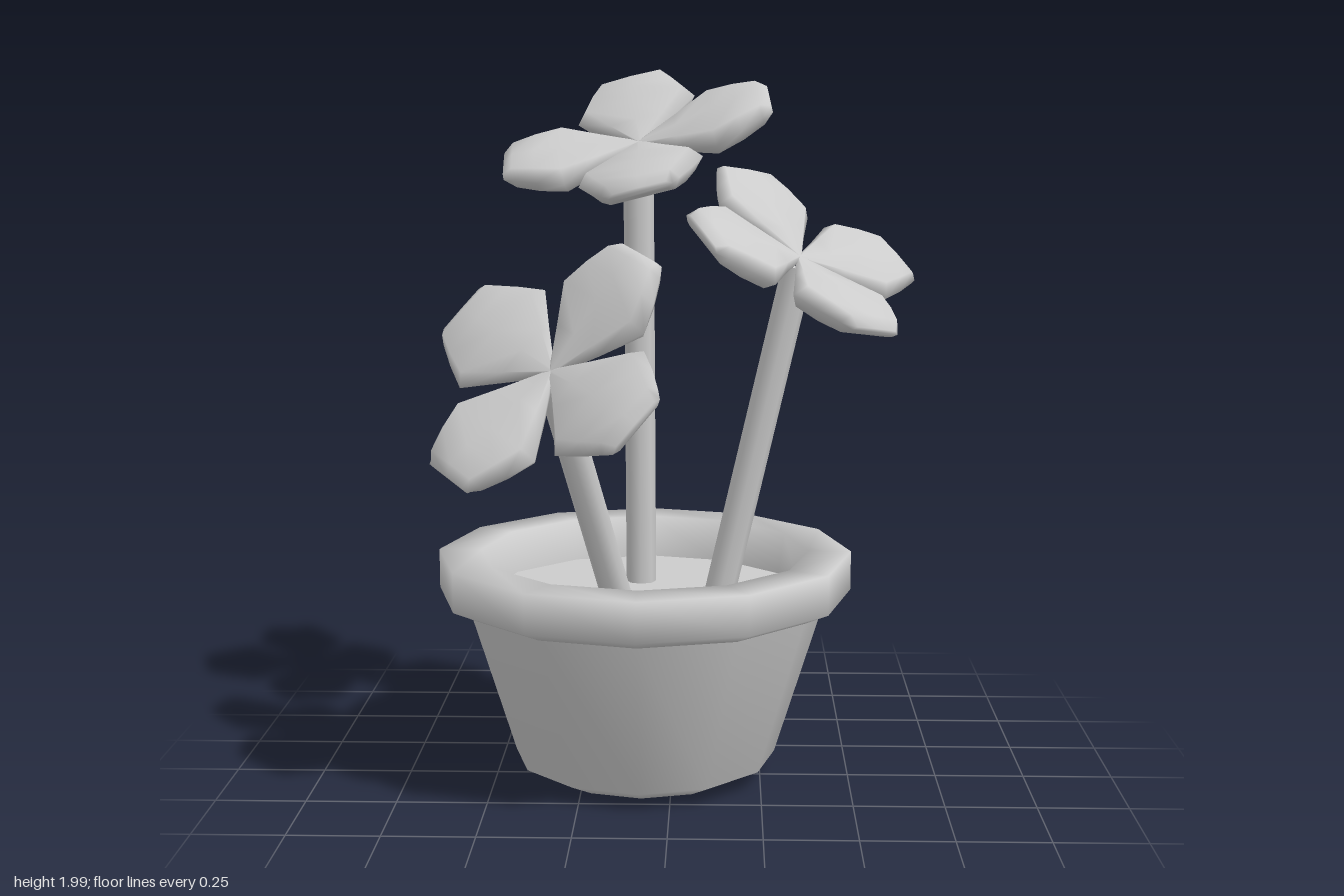
import * as THREE from 'three';

const material = new THREE.MeshStandardMaterial({ color: 0xcccccc });
const V = (a) => new THREE.Vector3(...a);

function mesh(name, geometry, mat = material) {
  const m = new THREE.Mesh(geometry, mat);
  m.name = name;
  return m;
}

// Lathed ring of twelve sides from [radius, height] pairs
function lathe(points) {
  return new THREE.LatheGeometry(points.map(([r, y]) => new THREE.Vector2(r, y)), 12);
}

// Petal along +x: bevelled octagonal sections [distance, half width, half thickness, lift]
function petalGeometry() {
  const sections = [
    [0, 0.008, 0.008, -0.012],
    [0.11, 0.092, 0.024, -0.008],
    [0.215, 0.175, 0.036, 0],
    [0.29, 0.143, 0.036, 0.01],
    [0.355, 0.108, 0.03, 0.02],
    [0.385, 0.088, 0.01, 0.022],
  ];
  const outline = [[-1, 0], [-0.82, 1], [0, 1.1], [0.82, 1], [1, 0], [0.82, -1], [0, -1], [-0.82, -1]];
  const n = outline.length;
  const positions = [];
  const index = [];
  for (const [u, w, t, lift] of sections) {
    for (const [a, b] of outline) positions.push(u, lift + b * t, a * w);
  }
  for (let s = 0; s < sections.length - 1; s++) {
    for (let i = 0; i < n; i++) {
      const a = s * n + i, b = s * n + (i + 1) % n;
      index.push(a, b, a + n, b, b + n, a + n);
    }
  }
  // Closed tip
  const last = (sections.length - 1) * n;
  for (let i = 1; i < n - 1; i++) index.push(last, last + i, last + i + 1);
  const g = new THREE.BufferGeometry();
  g.setAttribute('position', new THREE.Float32BufferAttribute(positions, 3));
  g.setIndex(index);
  g.computeVertexNormals();
  return g;
}

// Round stem between two points
function stem(from, to) {
  const a = V(from), b = V(to);
  const dir = b.clone().sub(a);
  const m = mesh('stem', new THREE.CylinderGeometry(0.043, 0.043, dir.length(), 8));
  m.position.copy(a).add(b).multiplyScalar(0.5);
  m.quaternion.setFromUnitVectors(new THREE.Vector3(0, 1, 0), dir.normalize());
  return m;
}

// Four-petal blossom whose petals lie along two crossing axes
function blossom(center, xAxis, zAxis, size, petal) {
  const x = V(xAxis).normalize();
  const y = V(zAxis).cross(x).normalize();
  const z = x.clone().cross(y);
  const g = new THREE.Group();
  g.name = 'blossom';
  for (let i = 0; i < 4; i++) {
    const p = mesh('petal', petal);
    p.rotation.y = i * Math.PI / 2;
    g.add(p);
  }
  g.quaternion.setFromRotationMatrix(new THREE.Matrix4().makeBasis(x, y, z));
  g.position.copy(V(center));
  g.scale.setScalar(size);
  return g;
}

export function createModel() {
  const model = new THREE.Group();
  model.name = 'flowerPot';

  // Pot with its collar and soil
  const pot = new THREE.Group();
  pot.name = 'pot';
  pot.position.set(-0.08, 0, -0.06);
  const soil = mesh('soil', new THREE.CircleGeometry(0.46, 12));
  soil.rotation.x = -Math.PI / 2;
  soil.position.y = 0.52;
  pot.add(
    mesh('potBody', lathe([[0, 0], [0.28, 0.005], [0.372, 0.05], [0.515, 0.505]])),
    mesh('rim', lathe([[0.5, 0.5], [0.52, 0.5], [0.585, 0.53], [0.585, 0.64], [0.465, 0.64], [0.445, 0.51]])),
    soil,
  );
  model.add(pot);

  // Flowers: stem foot, blossom centre, blossom axes, size
  const petal = petalGeometry();
  const flowers = [
    ['tallFlower', [-0.095, 0.5, -0.19], [-0.1, 1.79, -0.188], [0.755, 0.19, 0.025], [0, -0.31, 0.71], 1],
    ['leftFlower', [0.125, 0.5, 0.02], [0.35, 1.485, 0.035], [0.51, -0.1, -0.43], [0.31, -0.38, 0.52], 0.95],
    ['rightFlower', [-0.145, 0.5, 0.045], [-0.31, 1.205, 0.315], [0.48, 0.55, -0.21], [0.48, -0.26, 0.56], 1],
  ];
  for (const [name, foot, center, xAxis, zAxis, size] of flowers) {
    const flower = new THREE.Group();
    flower.name = name;
    // The stem stops just under the petals
    const top = V(center).lerp(V(foot), 0.035).toArray();
    flower.add(stem(foot, top), blossom(center, xAxis, zAxis, size, petal));
    model.add(flower);
  }
  return model;
}
